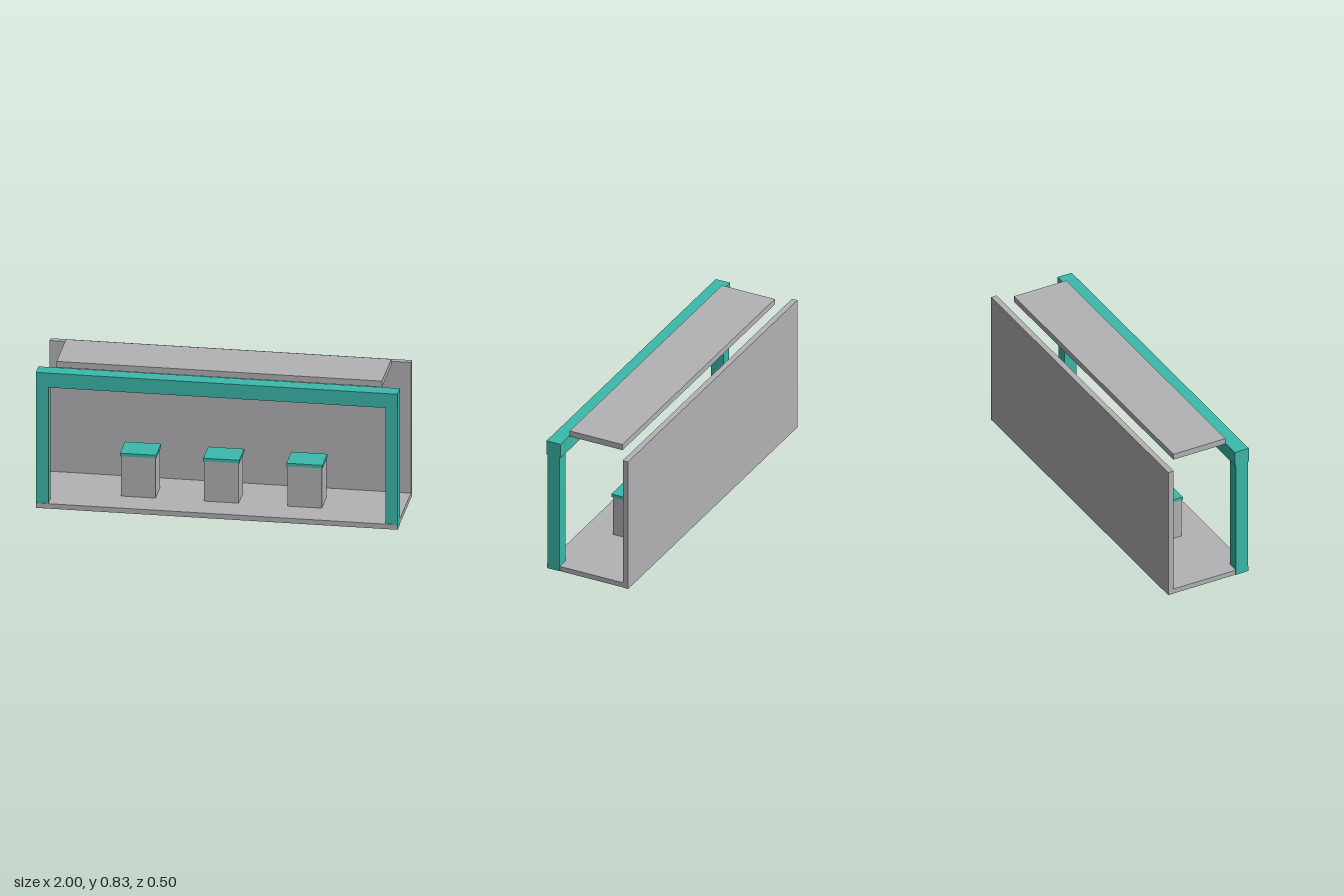
import * as THREE from 'three';

export function createModel() {
  const group = new THREE.Group();
  const grey = new THREE.MeshStandardMaterial({ name: 'concrete grey', color: 0xb3b3b5 });
  const teal = new THREE.MeshStandardMaterial({ name: 'teal', color: 0x3cb9aa });

  // Box given by its extents on each axis
  function box(name, material, [x0, x1], [y0, y1], [z0, z1], parent = group) {
    const mesh = new THREE.Mesh(new THREE.BoxGeometry(x1 - x0, y1 - y0, z1 - z0), material);
    mesh.position.set((x0 + x1) / 2, (y0 + y1) / 2, (z0 + z1) / 2);
    mesh.name = name;
    parent.add(mesh);
    return mesh;
  }

  // Shell: floor slab (a hair inside the posts), back wall and floating roof
  box('floor', grey, [-0.999, 0.999], [0.001, 0.03], [-0.217, 0.25]);
  box('backWall', grey, [-1, 1], [0, 0.8], [-0.25, -0.217]);
  box('roof', grey, [-0.9, 0.9], [0.8, 0.835], [-0.163, 0.162]);

  // Front portal: two posts carrying a beam
  box('leftPost', teal, [0.932, 1], [0, 0.715], [0.171, 0.246]);
  box('rightPost', teal, [-1, -0.932], [0, 0.715], [0.171, 0.246]);
  box('beam', teal, [-1, 1], [0.715, 0.8], [0.165, 0.252]);

  // Row of three stools
  for (let i = -1; i <= 1; i++) {
    const stool = new THREE.Group();
    stool.name = 'stool';
    stool.position.x = i * 0.46 - 0.002;
    box('stoolBase', grey, [-0.095, 0.095], [0.03, 0.267], [-0.08, 0.077], stool);
    box('stoolSeat', teal, [-0.1, 0.1], [0.267, 0.285], [-0.086, 0.083], stool);
    group.add(stool);
  }
  return group;
}
